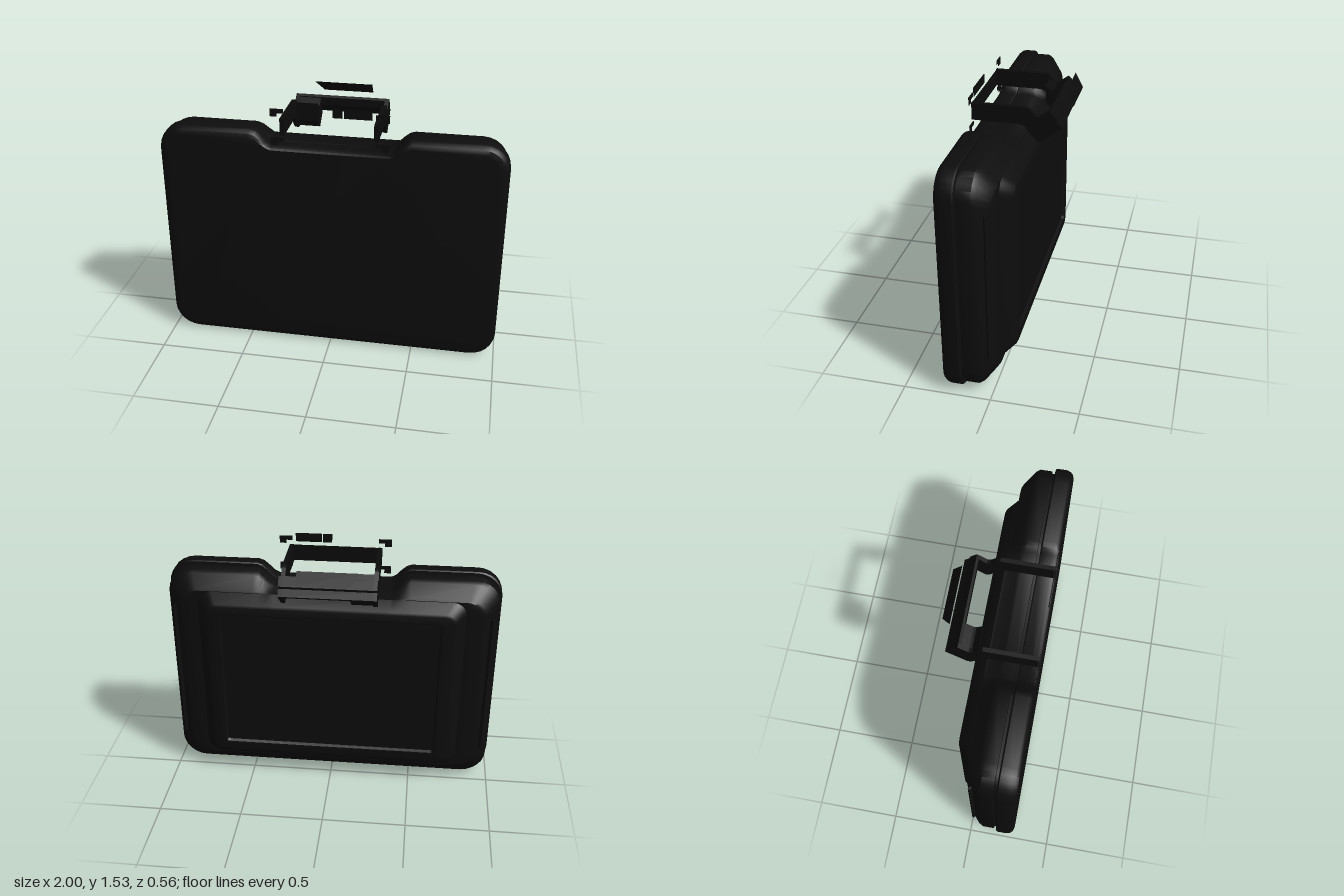
import * as THREE from 'three';
import { toCreasedNormals } from 'three/addons/utils/BufferGeometryUtils.js';

const shellBlack = new THREE.MeshStandardMaterial({ color: 0x0d0d0d });
shellBlack.name = 'shell black';
const fittingBlack = new THREE.MeshStandardMaterial({ color: 0x0b0b0b, side: THREE.DoubleSide });
fittingBlack.name = 'fitting black';
const backFacing = new THREE.MeshStandardMaterial({ color: 0x0b0b0b });
backFacing.name = 'strap black';

// Rounded rectangle with a soft notch in the middle of its top edge, counter-clockwise
function outline({ w, y0, y1, r, floor = 1.28 }) {
  const pts = [];
  const corner = (cx, cy, start) => {
    for (let i = 0; i <= 6; i++) {
      const a = start + (i / 6) * Math.PI / 2;
      pts.push(new THREE.Vector2(cx + r * Math.cos(a), cy + r * Math.sin(a)));
    }
  };
  const drop = Math.max(0, y1 - floor);
  const notch = [[0.46, 0], [0.43, 0.12], [0.4, 0.42], [0.37, 0.8], [0.34, 1]];
  corner(w - r, y0 + r, -Math.PI / 2);
  corner(w - r, y1 - r, 0);
  notch.forEach(([x, d]) => pts.push(new THREE.Vector2(x, y1 - drop * d)));
  [...notch].reverse().forEach(([x, d]) => pts.push(new THREE.Vector2(-x, y1 - drop * d)));
  corner(-w + r, y1 - r, Math.PI / 2);
  corner(-w + r, y0 + r, Math.PI);
  return pts;
}

// Skin a list of sections running from front to back and close both ends
function loft(sections, crease) {
  const rings = sections.map(outline);
  const n = rings[0].length, pos = [], idx = [];
  rings.forEach((ring, k) => ring.forEach(p => pos.push(p.x, p.y, sections[k].z)));
  for (let k = 0; k < rings.length - 1; k++) {
    for (let j = 0; j < n; j++) {
      const a = k * n + j, a1 = k * n + (j + 1) % n, b = a + n, b1 = a1 + n;
      idx.push(a, b, a1, b, b1, a1);
    }
  }
  const last = (rings.length - 1) * n;
  THREE.ShapeUtils.triangulateShape(rings[0], []).forEach(([a, b, c]) => idx.push(a, b, c));
  THREE.ShapeUtils.triangulateShape(rings[rings.length - 1], [])
    .forEach(([a, b, c]) => idx.push(last + a, last + c, last + b));
  const g = new THREE.BufferGeometry();
  g.setAttribute('position', new THREE.Float32BufferAttribute(pos, 3));
  g.setIndex(idx);
  return toCreasedNormals(g, crease);
}

// Extrude a (z, y) profile along x
function sideExtrude(points, x0, x1) {
  const shape = new THREE.Shape(points.map(([z, y]) => new THREE.Vector2(-z, y)));
  const g = new THREE.ExtrudeGeometry(shape, { depth: x1 - x0, bevelEnabled: false });
  return g.rotateY(Math.PI / 2).translate(x0, 0, 0);
}

export function createModel() {
  const model = new THREE.Group();
  const add = (name, geometry, material, parent = model) => {
    const mesh = new THREE.Mesh(geometry, material);
    mesh.name = name;
    parent.add(mesh);
    return mesh;
  };
  const box = (name, x0, x1, y0, y1, z0, z1, material, parent) => add(name,
    new THREE.BoxGeometry(x1 - x0, y1 - y0, z1 - z0)
      .translate((x0 + x1) / 2, (y0 + y1) / 2, (z0 + z1) / 2), material, parent);

  // Case: front lid, seam, back shell, raised block and its recessed panel
  const inset = (z, d, r = 0.15) => ({ z, w: 1 - d, y0: d, y1: 1.37 - d, r, floor: 1.28 - d * 0.4 });
  add('caseBody', loft([
    inset(0.28, 0.045, 0.11),
    inset(0.272, 0.02, 0.13),
    inset(0.255, 0.006, 0.145),
    inset(0.235, 0),
    inset(0.175, 0),
    inset(0.168, 0.006),
    inset(0.166, 0.03, 0.13),
    inset(0.152, 0.03, 0.13),
    inset(0.15, 0.016, 0.145),
    inset(0.08, 0.016, 0.145),
    inset(0.055, 0.03, 0.14),
    { z: -0.005, w: 0.905, y0: 0.105, y1: 1.265, r: 0.1, floor: 1.25 },
    { z: -0.015, w: 0.88, y0: 0.115, y1: 1.258, r: 0.09, floor: 1.25 },
    { z: -0.015, w: 0.79, y0: 0.12, y1: 1.255, r: 0.08 },
    { z: -0.078, w: 0.735, y0: 0.175, y1: 1.205, r: 0.06 },
    { z: -0.085, w: 0.72, y0: 0.19, y1: 1.19, r: 0.05 },
    { z: -0.085, w: 0.655, y0: 0.245, y1: 1.145, r: 0.02 },
    { z: -0.07, w: 0.645, y0: 0.255, y1: 1.135, r: 0.015 }
  ], 0.6), shellBlack);

  // Upright ribs on the side chamfers
  for (const s of [1, -1]) {
    const rib = add('sideRib', new THREE.BoxGeometry(0.035, 0.9, 0.012), shellBlack);
    rib.position.set(s * 0.938, 0.69, 0.023);
    rib.rotation.y = s * 0.7;
  }

  // Handle: two cranked arms, slanted grip, front strap
  const handle = new THREE.Group();
  handle.name = 'handle';
  model.add(handle);
  const armProfile = [
    [0.275, 1.355], [0.275, 1.455], [-0.035, 1.455], [-0.055, 1.447], [-0.09, 1.407],
    [-0.11, 1.405], [-0.168, 1.447], [-0.21, 1.4], [-0.205, 1.385], [-0.24, 1.352],
    [-0.12, 1.257], [-0.1, 1.26], [-0.05, 1.31], [-0.03, 1.345], [0, 1.355]
  ];
  add('handleArmLeft', sideExtrude(armProfile, 0.25, 0.275), fittingBlack, handle);
  add('handleArmRight', sideExtrude(armProfile, -0.28, -0.255), fittingBlack, handle);
  add('handleGrip', sideExtrude(
    [[-0.155, 1.437], [-0.168, 1.447], [-0.21, 1.4], [-0.205, 1.385], [-0.24, 1.352],
      [-0.215, 1.333], [-0.155, 1.39]], -0.28, 0.275), fittingBlack, handle);
  add('handleBuckle', sideExtrude(
    [[-0.06, 1.32], [-0.06, 1.43], [-0.095, 1.4], [-0.11, 1.4], [-0.16, 1.435], [-0.2, 1.33],
      [-0.12, 1.265]], -0.28, -0.13), fittingBlack, handle);
  add('handleFrontStrap', new THREE.PlaneGeometry(0.555, 0.1).rotateY(Math.PI)
    .translate(0, 1.405, 0.272), backFacing, handle);

  // Small angled clips at the corners of the handle, and the top strip
  for (const s of [1, -1]) {
    for (const [top, legTop] of [[1.51, 1.485], [1.34, 1.318]]) {
      const clip = new THREE.Group();
      clip.name = 'handleClip';
      model.add(clip);
      const span = (a, b) => [Math.min(s * a, s * b), Math.max(s * a, s * b)];
      box('clipBar', ...span(0.258, 0.335), legTop, top, 0.268, 0.272, fittingBlack, clip);
      box('clipLeg', ...span(0.295, 0.335), top - 0.045, legTop, 0.268, 0.272, fittingBlack, clip);
    }
  }
  box('topStripShort', 0.02, 0.075, 1.478, 1.53, 0.268, 0.272, fittingBlack);
  box('topStripLong', 0.082, 0.238, 1.478, 1.53, 0.268, 0.272, fittingBlack);

  // Tilted tag plate behind the grip
  const tag = new THREE.BufferGeometry();
  tag.setAttribute('position', new THREE.Float32BufferAttribute([
    -0.18, 1.507, -0.227, 0.165, 1.507, -0.227, 0.165, 1.44, -0.28, -0.13, 1.44, -0.28], 3));
  tag.setIndex([0, 1, 2, 0, 2, 3]);
  tag.computeVertexNormals();
  add('tagPlate', tag, fittingBlack);

  return model;
}
